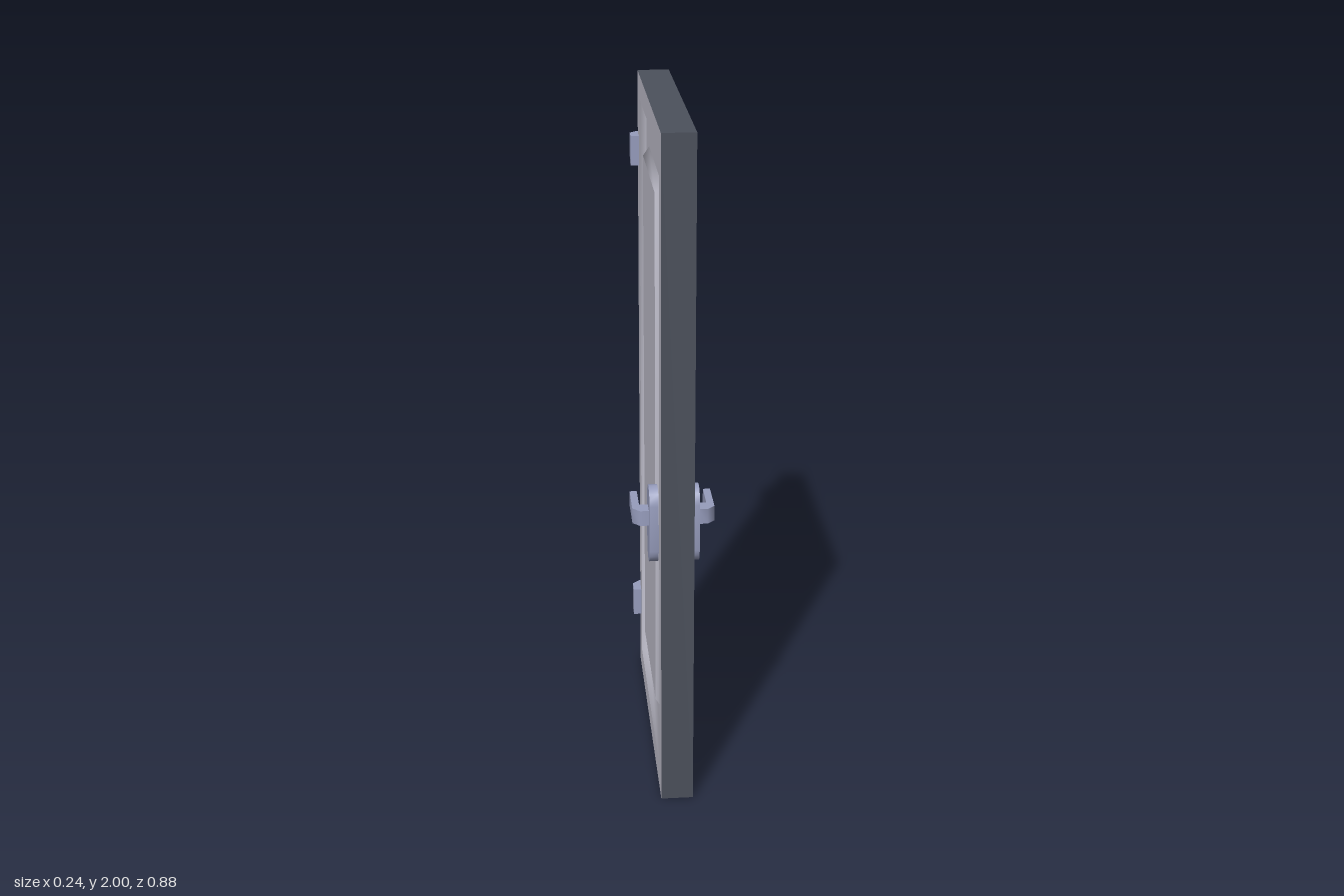
import * as THREE from 'three';
import { mergeGeometries, toCreasedNormals } from 'three/addons/utils/BufferGeometryUtils.js';

const HALF = 0.047;   // half the door thickness
const DEPTH = 0.02;   // depth of the moulded groove

// Nested rectangles of the moulding, outside in: back z, front z, bottom y, top y, depth
const RECTS = [
  [-0.417, 0.437, 0, 2, 0],
  [-0.345, 0.37, 0.07, 1.93, 0],
  [-0.323, 0.348, 0.092, 1.908, DEPTH],
  [-0.226, 0.25, 0.195, 1.812, DEPTH],
  [-0.204, 0.228, 0.217, 1.79, 0],
];

// Four corners of a rectangle, counter-clockwise seen from +x
function corners([z0, z1, y0, y1], x) {
  return [[x, y0, z1], [x, y0, z0], [x, y1, z0], [x, y1, z1]];
}

// Indexed surface from points; normals blend only within the surface
function surface(points, index) {
  const g = new THREE.BufferGeometry();
  g.setAttribute('position', new THREE.Float32BufferAttribute(points.flat(), 3));
  g.setIndex(index);
  g.computeVertexNormals();
  return g;
}

// Band of quads joining two four-cornered loops
function band(a, b, flip = false) {
  const index = [];
  for (let i = 0; i < 4; i++) {
    const j = (i + 1) % 4;
    if (flip) index.push(i, j + 4, j, i, i + 4, j + 4);
    else index.push(i, j, j + 4, i, j + 4, i + 4);
  }
  return surface([...a, ...b], index);
}

// One moulded door face, on side s (+1 or -1)
function panelFace(s) {
  const loops = RECTS.map(r => corners(r, s * (HALF - r[4])));
  const parts = [];
  for (let i = 0; i < loops.length - 1; i++) parts.push(band(loops[i], loops[i + 1], s < 0));
  parts.push(surface(loops.at(-1), s > 0 ? [0, 1, 2, 0, 2, 3] : [0, 2, 1, 0, 3, 2]));
  return mergeGeometries(parts);
}

function extrude(shape, depth) {
  return new THREE.ExtrudeGeometry(shape, { depth, bevelEnabled: false, curveSegments: 4 });
}

// Prism standing upright, from a plan outline of [x, z] points
function planPrism(points, y0, y1) {
  const g = extrude(new THREE.Shape(points.map(([x, z]) => new THREE.Vector2(x, -z))), y1 - y0);
  g.rotateX(-Math.PI / 2).translate(0, y0, 0);
  return toCreasedNormals(g, 0.9);
}

// Oblong plate behind the lever
function rosePlate(s) {
  const r = 0.047, h = 0.07;
  const shape = new THREE.Shape();
  shape.moveTo(r, -h);
  shape.lineTo(r, h);
  shape.absarc(0, h, r, 0, Math.PI, false);
  shape.lineTo(-r, -h);
  shape.absarc(0, -h, r, Math.PI, Math.PI * 2, false);
  const g = extrude(shape, 0.026);
  g.rotateY(Math.PI / 2).translate(s > 0 ? 0.046 : -0.072, 0.837, 0.295);
  return toCreasedNormals(g, 0.9);
}

export function createModel() {
  const model = new THREE.Group();
  model.name = 'door';

  const material = (name, color) => {
    const m = new THREE.MeshStandardMaterial({ color });
    m.name = name;
    return m;
  };
  const faceMat = material('pale grey panel', 0xc0bfcc);
  const edgeMat = material('dark slate edge', 0x4c515c);
  const metalMat = material('blue grey metal', 0x979dbd);

  const add = (name, geometry, mat) => {
    const mesh = new THREE.Mesh(geometry, mat);
    mesh.name = name;
    model.add(mesh);
  };

  // Dark rim around the door leaf
  const rim = band(corners(RECTS[0], -HALF), corners(RECTS[0], HALF)).toNonIndexed();
  rim.computeVertexNormals();
  add('doorEdge', rim, edgeMat);

  // Faces and handles on both sides
  for (const [s, side] of [[1, 'left'], [-1, 'right']]) {
    add(side + 'Face', panelFace(s), faceMat);
    add(side + 'HandlePlate', rosePlate(s), metalMat);
    const lever = [[0.07, 0.272], [0.097, 0.272], [0.097, 0.175], [0.118, 0.175],
      [0.118, 0.297], [0.097, 0.318], [0.07, 0.318]];
    add(side + 'HandleLever', planPrism(lever.map(([x, z]) => [s * x, z]), 0.839, 0.885), metalMat);
  }

  // Hinges wrapped around the back edge
  const hinge = [[-0.072, -0.37], [-0.072, -0.416], [-0.048, -0.439],
    [0.048, -0.439], [0.072, -0.416], [0.072, -0.37]];
  add('lowerHinge', planPrism(hinge, 0.195, 0.286), metalMat);
  add('upperHinge', planPrism(hinge, 1.72, 1.811), metalMat);

  return model;
}
